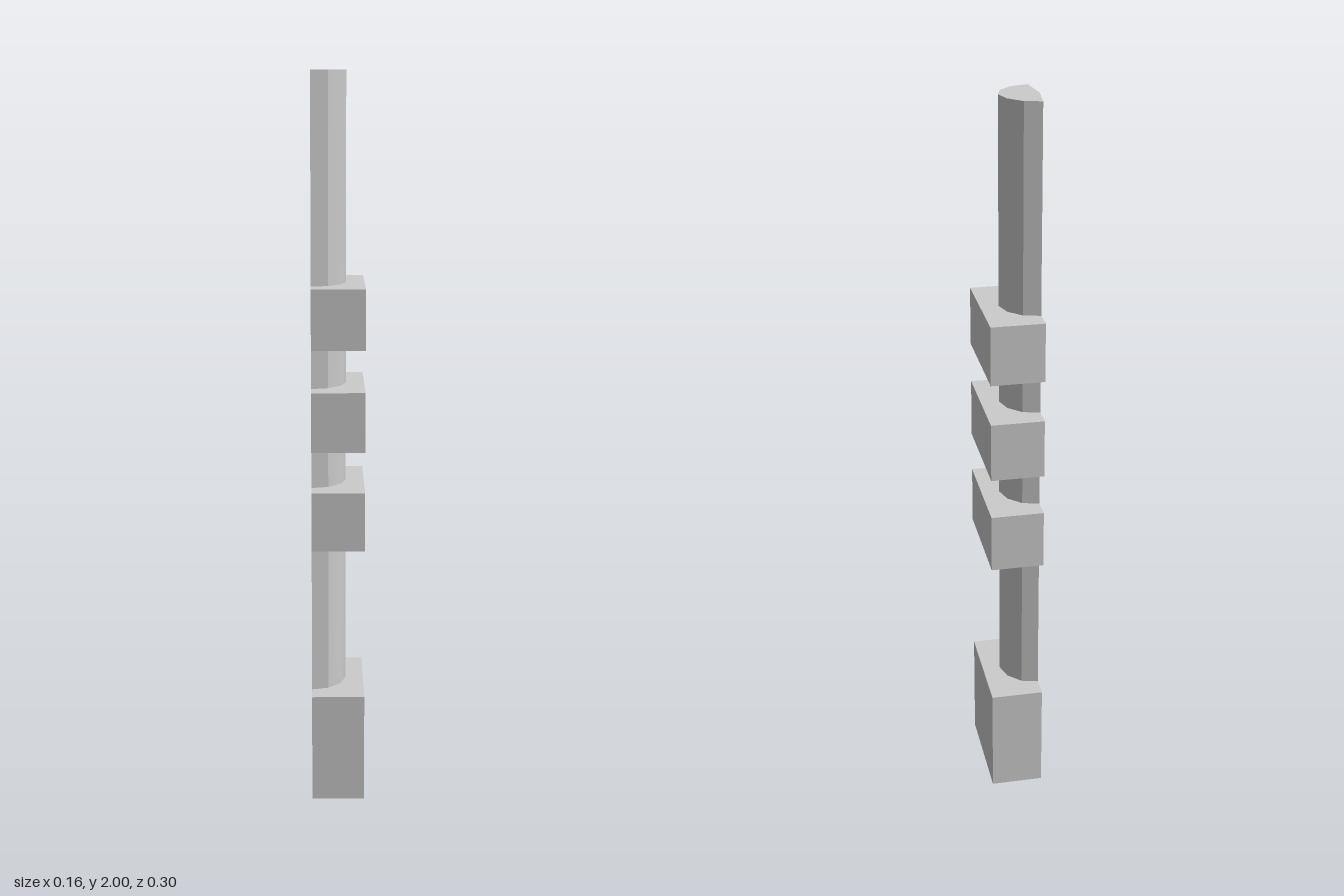
import * as THREE from 'three';

export function createModel() {
  const model = new THREE.Group();
  model.name = 'bandedPost';
  const material = new THREE.MeshStandardMaterial({ color: 0xcccccc, side: THREE.DoubleSide });

  function addPart(name, geometry, parent) {
    const mesh = new THREE.Mesh(geometry, material);
    mesh.name = name;
    parent.add(mesh);
    return mesh;
  }

  // Half-round post, hollow and open at the back; outline runs from +z to -z
  const half = [[-0.067, 0.094], [-0.021, 0.082], [0.014, 0.047]];
  const outline = [...half, [0.028, 0], ...half.map(([x, z]) => [x, -z]).reverse()];
  const bottom = 0.305;
  const top = 2;
  const post = new THREE.Group();
  post.name = 'post';
  model.add(post);

  // Upright wall following the given points, smooth along its length
  function wall(points) {
    const n = points.length;
    const geometry = new THREE.PlaneGeometry(1, 1, n - 1, 1);
    const position = geometry.attributes.position;
    for (let i = 0; i < position.count; i++) {
      const [x, z] = points[i % n];
      position.setXYZ(i, x, i < n ? top : bottom, z);
    }
    geometry.computeVertexNormals();
    return geometry;
  }
  addPart('postSideLeft', wall(outline.slice(0, 2)), post);
  addPart('postRound', wall(outline.slice(1, 6)), post);
  addPart('postSideRight', wall(outline.slice(5)), post);

  // Flat cap with a slight point at the back
  const capPoints = [...outline, [-0.078, 0]].map(([x, z]) => new THREE.Vector2(x, -z));
  const cap = new THREE.ShapeGeometry(new THREE.Shape(capPoints));
  cap.rotateX(-Math.PI / 2).translate(0, top, 0);
  addPart('postCap', cap, post);

  // Box shell open at the back (-x) and underneath
  function addShell(name, y0, y1) {
    const geometry = new THREE.BoxGeometry(0.145, y1 - y0, 0.302);
    const index = Array.from(geometry.index.array);
    const keptSides = [0, 2, 4, 5]; // +x, top, +z, -z
    geometry.setIndex(keptSides.flatMap((s) => index.slice(s * 6, s * 6 + 6)));
    geometry.clearGroups();
    addPart(name, geometry, model).position.set(0.0055, (y0 + y1) / 2, 0);
  }

  addShell('base', 0, bottom);
  [0.727, 1.002, 1.278].forEach((y, i) => addShell(`band${i + 1}`, y, y + 0.163));

  return model;
}
